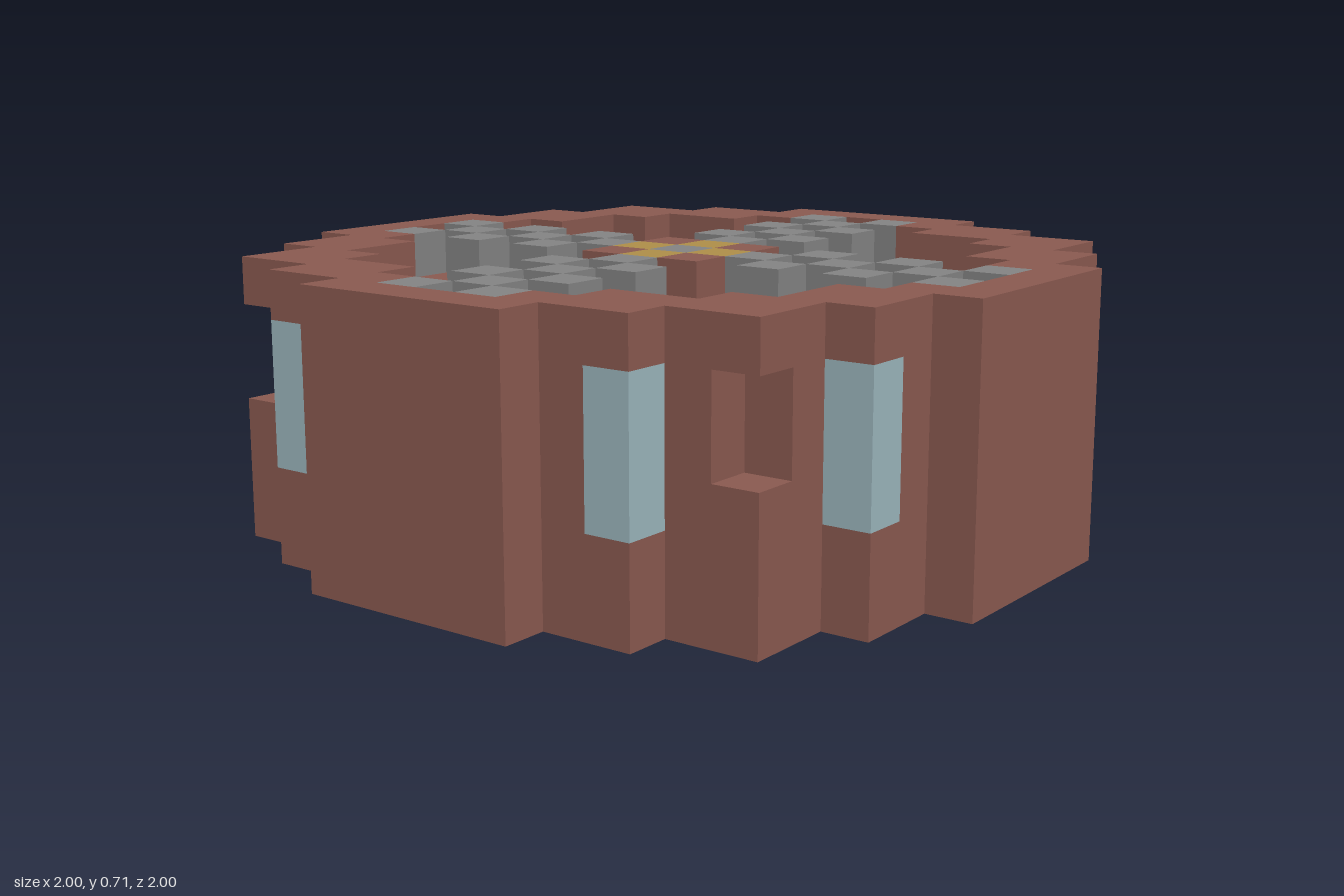
import * as THREE from 'three';
import { mergeGeometries } from 'three/addons/utils/BufferGeometryUtils.js';

const U = 2 / 17; // one block
const mat = (name, color) => {
  const m = new THREE.MeshStandardMaterial({ color });
  m.name = name;
  return m;
};

export function createModel() {
  const brown = mat('brown clay', 0x8c5b51);
  const grey = mat('grey stone', 0x858585);
  const gold = mat('gold', 0xb0904a);
  const glass = mat('pale glass', 0x9db8bf);

  // Block grid: later parts replace earlier ones, null carves a block away
  const cells = new Map();
  const key = (x, y, z) => `${x},${y},${z}`;
  const put = (part, x, y, z) =>
    part ? cells.set(key(x, y, z), { part, x, y, z }) : cells.delete(key(x, y, z));
  const mirrored = (part, x, y, z) => {
    for (const sx of [-1, 1]) for (const sz of [-1, 1]) {
      put(part, sx * x, y, sz * z);
      put(part, sz * z, y, sx * x);
    }
  };

  // Stepped round plan: outer half-width for each row, and inner opening
  const outer = [8, 8, 8, 7, 7, 6, 6, 4, 2];
  const inner = [6, 6, 6, 5, 5, 4, 2, -1, -1];
  const inDisc = (x, z) => Math.abs(z) <= 8 && Math.abs(x) <= outer[Math.abs(z)];
  const onEdge = (x, z) =>
    !inDisc(x + 1, z) || !inDisc(x - 1, z) || !inDisc(x, z + 1) || !inDisc(x, z - 1);

  // Wide rims at the bottom and top, thin wall between them
  for (let x = -8; x <= 8; x++) for (let z = -8; z <= 8; z++) {
    if (!inDisc(x, z)) continue;
    if (Math.abs(x) > inner[Math.abs(z)]) {
      put('bottomRim', x, 0, z);
      put('topRim', x, 5, z);
    }
    if (onEdge(x, z)) for (let y = 1; y <= 4; y++) put('outerWall', x, y, z);
  }

  // Corner windows and diagonal niches
  for (let y = 2; y <= 4; y++) mirrored('window', 4, y, 7);
  for (let y = 3; y <= 4; y++) mirrored(null, 6, y, 6);

  // Crossing beams, with chequered stones on the upper one
  for (let r = 0; r <= 7; r++) {
    mirrored('lowerBeam', 0, 0, r);
    if (r >= 2 && r <= 6 && r % 2 === 0) mirrored('lowerStone', 0, 1, r);
    for (let w = 0; w <= 1; w++) {
      mirrored('upperBeam', w, 4, r);
      if (r >= 2) mirrored((w + r) % 2 === 0 ? 'chequerStone' : null, w, 5, r);
    }
  }

  // Lamps on the wall under the beam ends
  mirrored('lamp', 0, 3, 7);

  // Central pillar and its cap
  for (let y = 0; y <= 4; y++) {
    mirrored('pillar', 0, y, 0);
    if (y < 4) mirrored('pillar', 0, y, 1);
  }
  mirrored('capCorner', 1, 5, 1);
  mirrored('capCross', 0, 5, 1);
  put('capCentre', 0, 5, 0);

  // Exposed block faces, merged into one mesh for each part
  const H = Math.PI / 2;
  const sides = [
    [0, 0, 1, 0, 0], [0, 0, -1, 0, Math.PI], [1, 0, 0, 0, H],
    [-1, 0, 0, 0, -H], [0, 1, 0, -H, 0], [0, -1, 0, H, 0],
  ];
  const faces = {};
  for (const { part, x, y, z } of cells.values()) {
    for (const [dx, dy, dz, rx, ry] of sides) {
      if (cells.has(key(x + dx, y + dy, z + dz))) continue;
      const face = new THREE.PlaneGeometry(U, U).rotateX(rx).rotateY(ry);
      face.translate((x + dx / 2) * U, (y + 0.5 + dy / 2) * U, (z + dz / 2) * U);
      (faces[part] ??= []).push(face);
    }
  }

  const colours = {
    window: glass, lamp: gold, capCross: gold, capCentre: grey,
    pillar: grey, chequerStone: grey, lowerStone: grey,
  };
  const model = new THREE.Group();
  model.name = 'roundPavilion';
  for (const [part, list] of Object.entries(faces)) {
    const mesh = new THREE.Mesh(mergeGeometries(list), colours[part] ?? brown);
    mesh.name = part;
    model.add(mesh);
  }
  return model;
}
